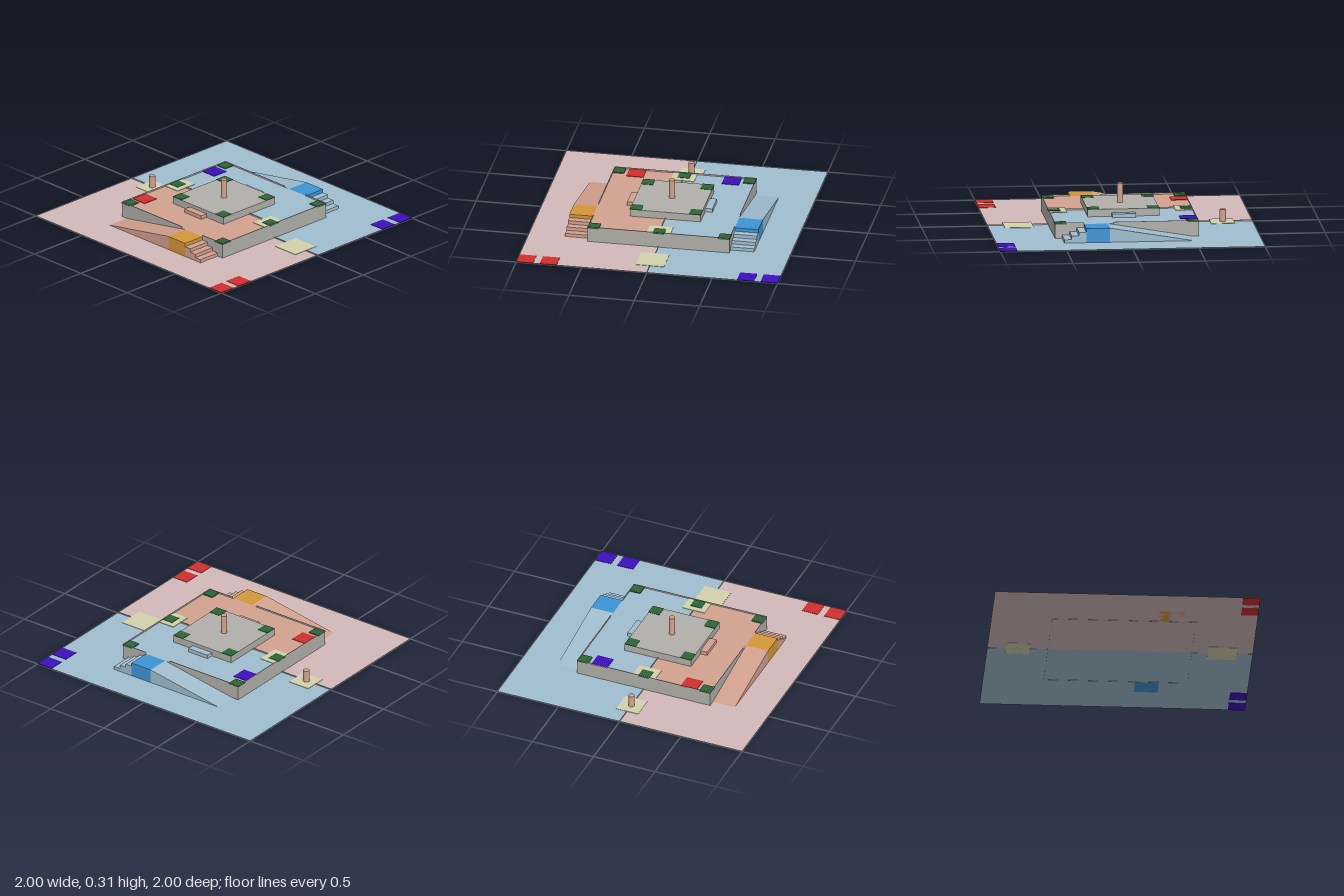
import * as THREE from 'three';

const material = (name, color) =>
  new THREE.MeshStandardMaterial({ name, color, side: THREE.DoubleSide });

export function createModel() {
  const model = new THREE.Group();
  model.name = 'gameField';

  const gray = material('gray', 0xb0afa9);
  const green = material('green', 0x2d6536);
  const cream = material('cream', 0xd3d1ac);
  const salmon = material('salmon', 0xd3a18f);
  const sides = [
    { name: 'front', s: 1, floor: material('pink', 0xd2b9b8), main: salmon,
      bright: material('orange', 0xd3983a), tile: material('red', 0xcf2f2f) },
    { name: 'back', s: -1, floor: material('paleBlue', 0xa0bdcf), main: null,
      bright: material('blue', 0x3d95d6), tile: material('purple', 0x3d10bb) },
  ];
  sides[1].main = sides[1].floor;

  const add = (name, geometry, mat) => {
    const mesh = new THREE.Mesh(geometry, mat);
    mesh.name = name;
    model.add(mesh);
    return mesh;
  };
  // Box given by its limits on each axis
  const box = (name, mat, x0, x1, y0, y1, z0, z1) => {
    const mesh = add(name, new THREE.BoxGeometry(x1 - x0, y1 - y0, Math.abs(z1 - z0)), mat);
    mesh.position.set((x0 + x1) / 2, (y0 + y1) / 2, (z0 + z1) / 2);
    return mesh;
  };
  const plane = (name, mat, x0, x1, y, z0, z1) => {
    const mesh = add(name, new THREE.PlaneGeometry(x1 - x0, Math.abs(z1 - z0)).rotateX(-Math.PI / 2), mat);
    mesh.position.set((x0 + x1) / 2, y, (z0 + z1) / 2);
    return mesh;
  };
  const pole = (name, x, y0, y1) => {
    const mesh = add(name, new THREE.CylinderGeometry(0.024, 0.024, y1 - y0, 32), salmon);
    mesh.position.set(x, (y0 + y1) / 2, 0);
  };

  const E = 0.543, DECK = 0.11, RIM = 0.122, T = 0.003;

  for (const { name, s, floor, main, bright, tile } of sides) {
    // Floor and deck halves
    plane(name + 'Floor', floor, -1, 1, 0.002, 0, s);
    plane(name + 'Deck', main, -E, E, DECK, 0, s * E);

    // Coloured tiles
    box(name + 'CornerTile', tile, 0.87, 1, 0, 0.005, s * 0.87, s);
    box(name + 'InnerTile', tile, 0.87, 1, 0, 0.005, s * 0.69, s * 0.82);
    box(name + 'DeckTile', tile, -E, -0.415, DECK, DECK + 0.004, s * 0.3, s * 0.43);

    // Platform wall, lower where the landing meets the deck
    box(name + 'WallLong', gray, -E, 0.1, 0, RIM, s * (E - T), s * E);
    box(name + 'WallOpening', gray, 0.1, 0.325, 0, DECK - 0.001, s * (E - T), s * E);
    box(name + 'WallShort', gray, 0.325, E, 0, RIM, s * (E - T), s * E);

    // Ramp wedge
    const wedge = new THREE.Shape([[-0.49, 0.002], [0.145, 0.002], [0.145, DECK]]
      .map(([x, y]) => new THREE.Vector2(x, y)));
    const ramp = add(name + 'Ramp',
      new THREE.ExtrudeGeometry(wedge, { depth: 0.18, bevelEnabled: false }), main);
    ramp.position.z = s > 0 ? E : -E - 0.18;

    // Landing and stairs
    box(name + 'Landing', bright, 0.145, 0.325, 0.002, DECK, s * E, s * 0.723);
    for (let i = 0; i < 3; i++) {
      const x = 0.325 + i * 0.055;
      box(name + 'Stair', main, x, x + 0.055, 0.002, DECK * (3 - i) / 4, s * E, s * 0.723);
    }

    // Step up to the upper block
    box(name + 'UpperStep', main, -0.09, 0.09, DECK, 0.139, s * 0.27, s * 0.326);
  }

  // Side walls of the platform
  for (const x of [-E, E - T]) box('sideWall', gray, x, x + T, 0, RIM, -E, E);

  // Upper block and poles
  box('upperBlock', gray, -0.271, 0.271, DECK, 0.166, -0.271, 0.271);
  pole('centrePole', 0, 0.166, 0.312);
  pole('outerPole', -0.775, 0, 0.096);

  // Cream patches on the floor and deck
  box('leftPatch', cream, -0.86, -0.68, 0, 0.005, -0.09, 0.09);
  box('rightPatch', cream, 0.66, 0.88, 0, 0.005, -0.108, 0.108);
  box('leftDeckPatch', cream, -E, -0.41, DECK, DECK + 0.004, -0.09, 0.09);
  box('rightDeckPatch', cream, 0.41, E, DECK, DECK + 0.004, -0.09, 0.09);

  // Green markers along the deck edges and on the upper block
  for (const x of [-0.5, 0.5]) {
    for (const z of [-0.5, 0, 0.5]) {
      box('deckMarker', green, x - 0.045, x + 0.045, DECK, DECK + 0.007, z - 0.045, z + 0.045);
    }
  }
  for (const x of [-0.227, 0.227]) {
    for (const z of [-0.227, 0.227]) {
      box('blockMarker', green, x - 0.045, x + 0.045, 0.164, 0.169, z - 0.045, z + 0.045);
    }
  }

  // Thin divider ridges along the centre line
  for (const [x0, x1, y] of [[-1, -0.86, 0], [-0.68, -E, 0], [E, 0.66, 0], [0.88, 1, 0],
    [-0.41, -0.271, DECK], [0.271, 0.41, DECK]]) {
    box('divider', gray, x0, x1, y, y + 0.011, -0.001, 0.001);
  }
  return model;
}
